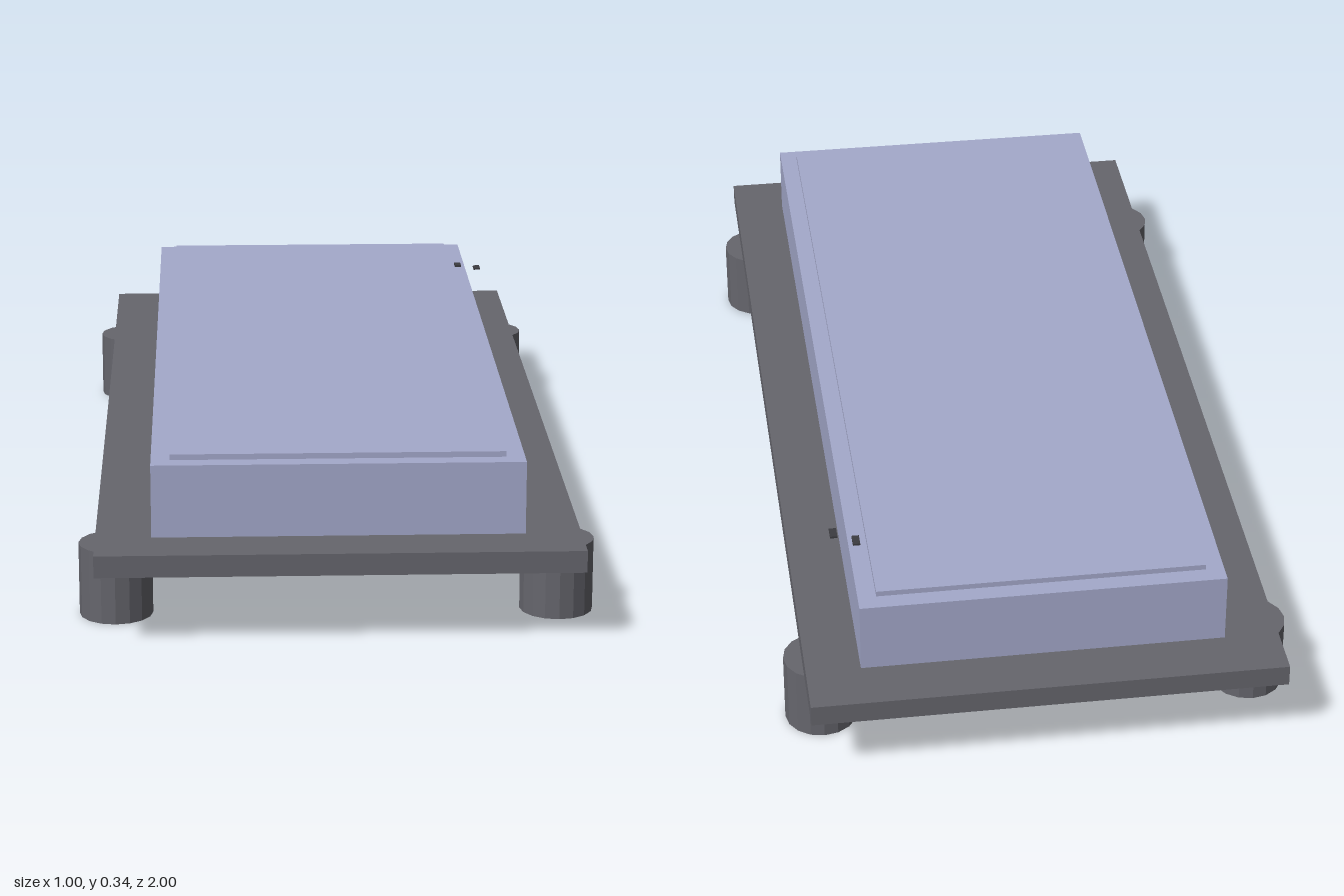
import * as THREE from 'three';

export function createModel() {
  const model = new THREE.Group();
  model.name = 'device';

  const mat = (name, color, flat = false) => {
    const m = new THREE.MeshStandardMaterial({ color, flatShading: flat });
    m.name = name;
    return m;
  };
  const darkGrey = mat('dark grey', 0x66666d, true);
  const paleBlue = mat('pale blue', 0xa4a9cb);
  const purple = mat('purple', 0x9370b8);
  const lightGrey = mat('light grey', 0xd0d0d2, true);
  const black = mat('near black', 0x3c3c40);

  const add = (name, geometry, material, x, y, z) => {
    const mesh = new THREE.Mesh(geometry, material);
    mesh.name = name;
    mesh.position.set(x, y, z);
    model.add(mesh);
  };
  // box spanning y0..y1, centred on x and z
  const box = (name, material, w, d, y0, y1, x = 0, z = 0) =>
    add(name, new THREE.BoxGeometry(w, y1 - y0, d), material, x, (y0 + y1) / 2, z);
  // upright post spanning y0..y1
  const post = (name, material, r, y0, y1, x, z) =>
    add(name, new THREE.CylinderGeometry(r, r, y1 - y0, 16), material, x, (y0 + y1) / 2, z);

  // base plate, display block and its raised top panel
  box('basePlate', darkGrey, 0.928, 2, 0.144, 0.187);
  box('displayBlock', paleBlue, 0.714, 1.784, 0.187, 0.33);
  box('topPanel', paleBlue, 0.642, 1.714, 0.33, 0.341);

  // four corner feet
  for (const sx of [-1, 1])
    for (const sz of [-1, 1])
      post('foot', darkGrey, 0.0714, 0, 0.144, sx * 0.4286, sz * 0.786);

  // connector and post under the front end
  box('connector', purple, 0.286, 0.143, 0.116, 0.144, -0.107, 0.714);
  post('underPost', lightGrey, 0.0375, 0.063, 0.144, 0.249, 0.715);

  // two small marker chips beside the panel
  box('markerChip', black, 0.0145, 0.028, 0.331, 0.335, 0.341, -0.675);
  box('markerChip', black, 0.0145, 0.028, 0.331, 0.335, 0.383, -0.645);

  return model;
}
